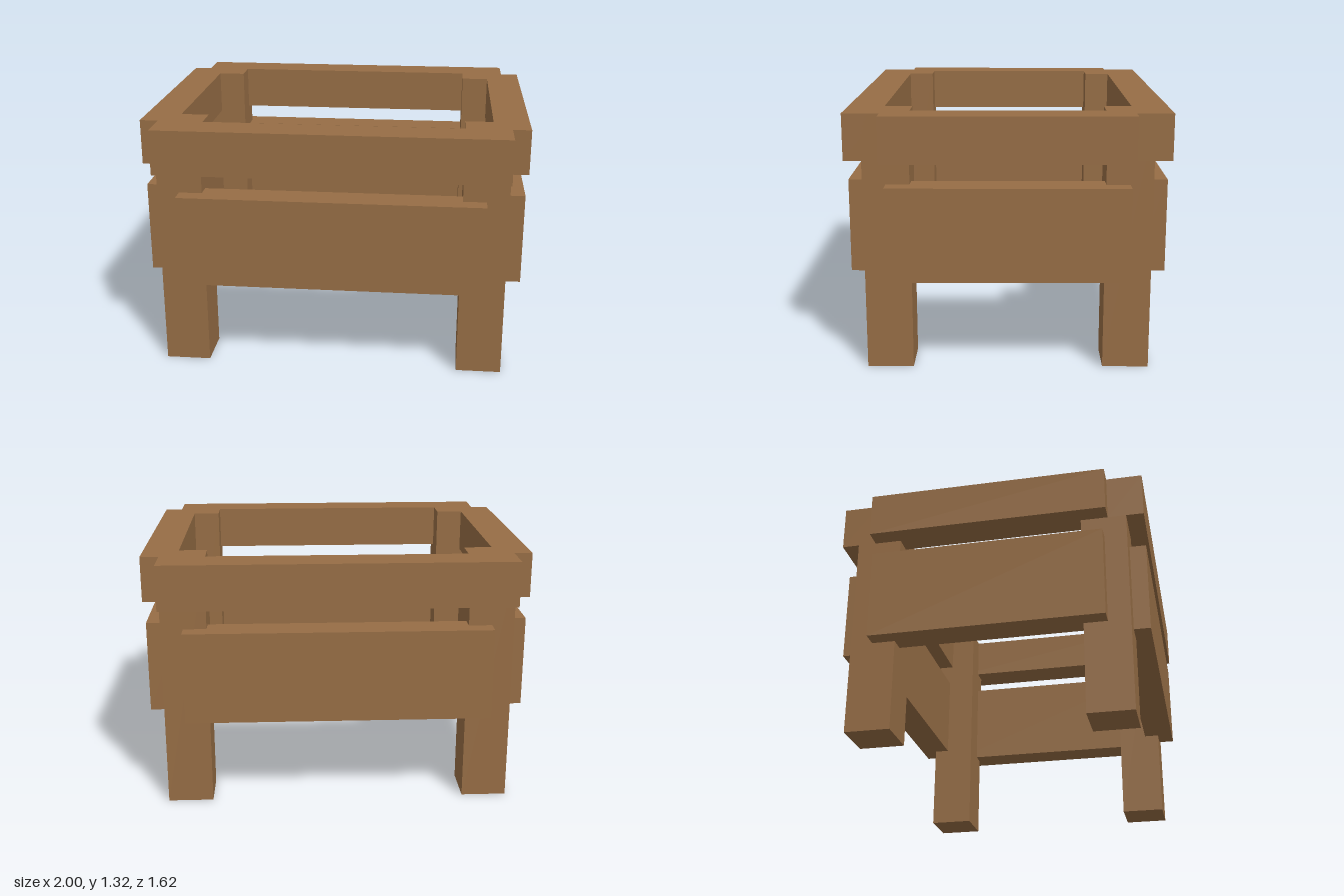
import * as THREE from 'three';

export function createModel() {
  const group = new THREE.Group();
  const wood = new THREE.MeshStandardMaterial({ color: 0x966d45 });

  // Box given by its extents on each axis
  const board = (name, [x0, x1], [y0, y1], [z0, z1]) => {
    const mesh = new THREE.Mesh(new THREE.BoxGeometry(x1 - x0, y1 - y0, z1 - z0), wood);
    mesh.position.set((x0 + x1) / 2, (y0 + y1) / 2, (z0 + z1) / 2);
    mesh.name = name;
    group.add(mesh);
  };
  // Range mirrored to the negative side when s is -1
  const side = (s, a, b) => (s > 0 ? [a, b] : [-b, -a]);

  const railY = [1.08, 1.315];
  const panelY = [0.48, 0.96];

  for (const s of [1, -1]) {
    const end = s > 0 ? 'front' : 'back';
    const flank = s > 0 ? 'left' : 'right';

    // Top frame rails
    board(`${end}Rail`, [-0.905, 0.905], railY, side(s, 0.625, 0.81));
    board(`${flank}Rail`, side(s, 0.815, 1), railY, [-0.625, 0.625]);

    // Apron panels, let into the legs
    board(`${end}Panel`, [-0.79, 0.79], panelY, side(s, 0.64, 0.805));
    board(`${flank}Panel`, side(s, 0.825, 0.99), panelY, [-0.605, 0.605]);

    // Legs, flush with the top of the frame
    for (const t of [1, -1]) {
      board(`${end}${t > 0 ? 'Left' : 'Right'}Leg`, side(t, 0.67, 0.905), [0, 1.315], side(s, 0.485, 0.72));
    }
  }
  return group;
}
